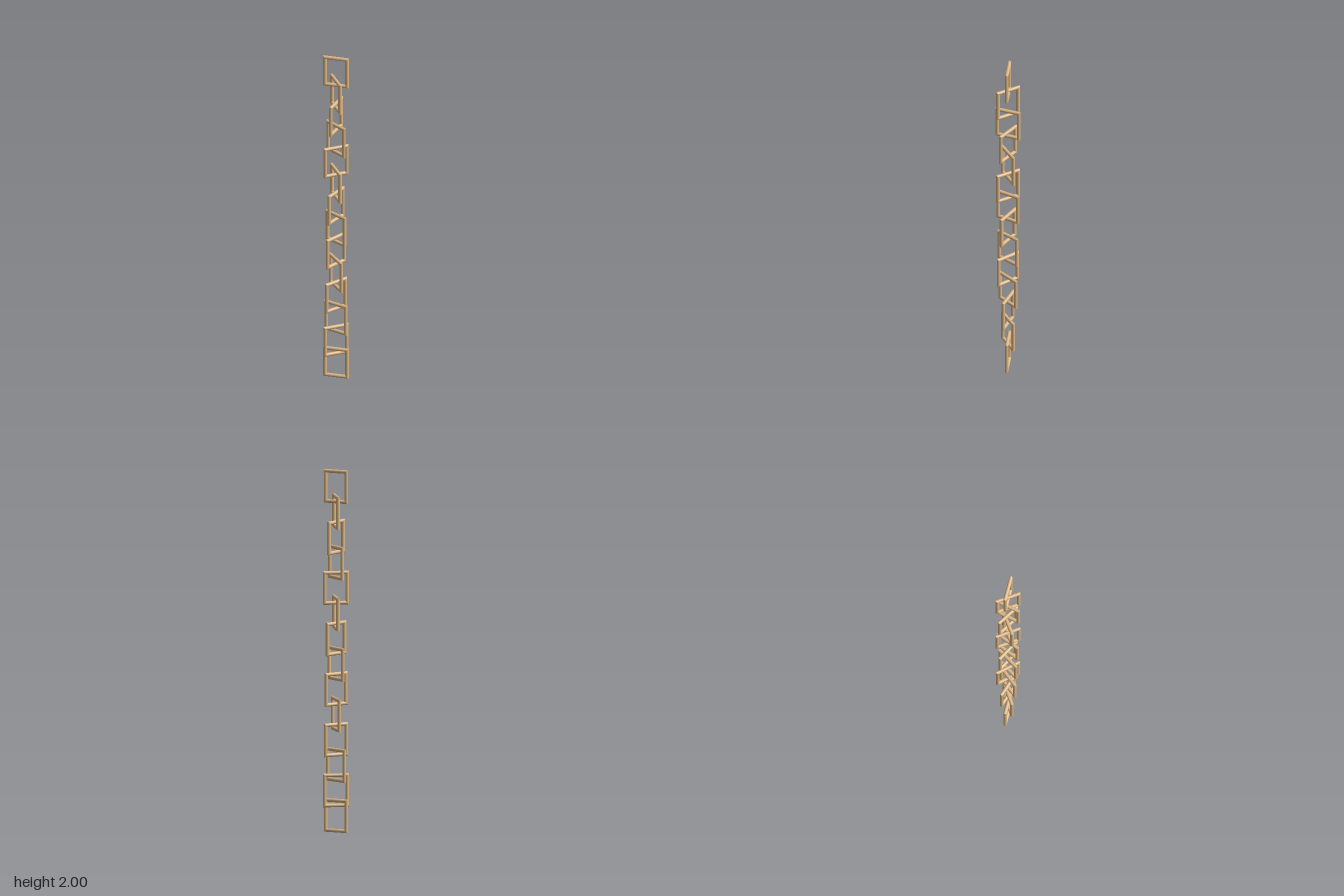
import * as THREE from 'three';

const R = 0.01;        // bar radius
const HALF_W = 0.0622; // half width of a link, to the bar centre line
const HALF_H = 0.083;  // half height of a link, to the bar centre line

// A round bar along y whose ends are cut at 45 degrees, longer on its outer (+x) side.
function mitredBar(half) {
  const geo = new THREE.CylinderGeometry(R, R, 2 * half, 16, 1, true);
  const p = geo.attributes.position;
  for (let i = 0; i < p.count; i++) p.setY(i, Math.sign(p.getY(i)) * (half + p.getX(i)));
  return geo;
}

export function createModel() {
  const group = new THREE.Group();
  group.name = 'chain';
  const material = new THREE.MeshStandardMaterial({ color: 0xdeb887 });
  const post = mitredBar(HALF_H), rail = mitredBar(HALF_W);

  // Four mitred bars make one rectangular link.
  function makeLink() {
    const link = new THREE.Group();
    ['leftPost', 'topRail', 'rightPost', 'bottomRail'].forEach((name, i) => {
      const bar = new THREE.Mesh(i % 2 ? rail : post, material);
      const a = i * Math.PI / 2, d = i % 2 ? HALF_H : HALF_W;
      bar.name = name;
      bar.position.set(Math.cos(a) * d, Math.sin(a) * d, 0);
      bar.rotation.z = a;
      link.add(bar);
    });
    return link;
  }

  // Links hang from top to bottom, each turned about the vertical axis (degrees).
  const turns = [13, -42, 90, -19, 48, -42, 80, -15, 70, -35, 63, -5, 47, 13];
  const top = 2 - HALF_H - R, bottom = HALF_H + R;
  turns.forEach((deg, i) => {
    const link = makeLink();
    link.name = `link${i + 1}`;
    link.position.y = THREE.MathUtils.lerp(top, bottom, i / (turns.length - 1));
    link.rotation.y = THREE.MathUtils.degToRad(deg);
    group.add(link);
  });
  return group;
}
